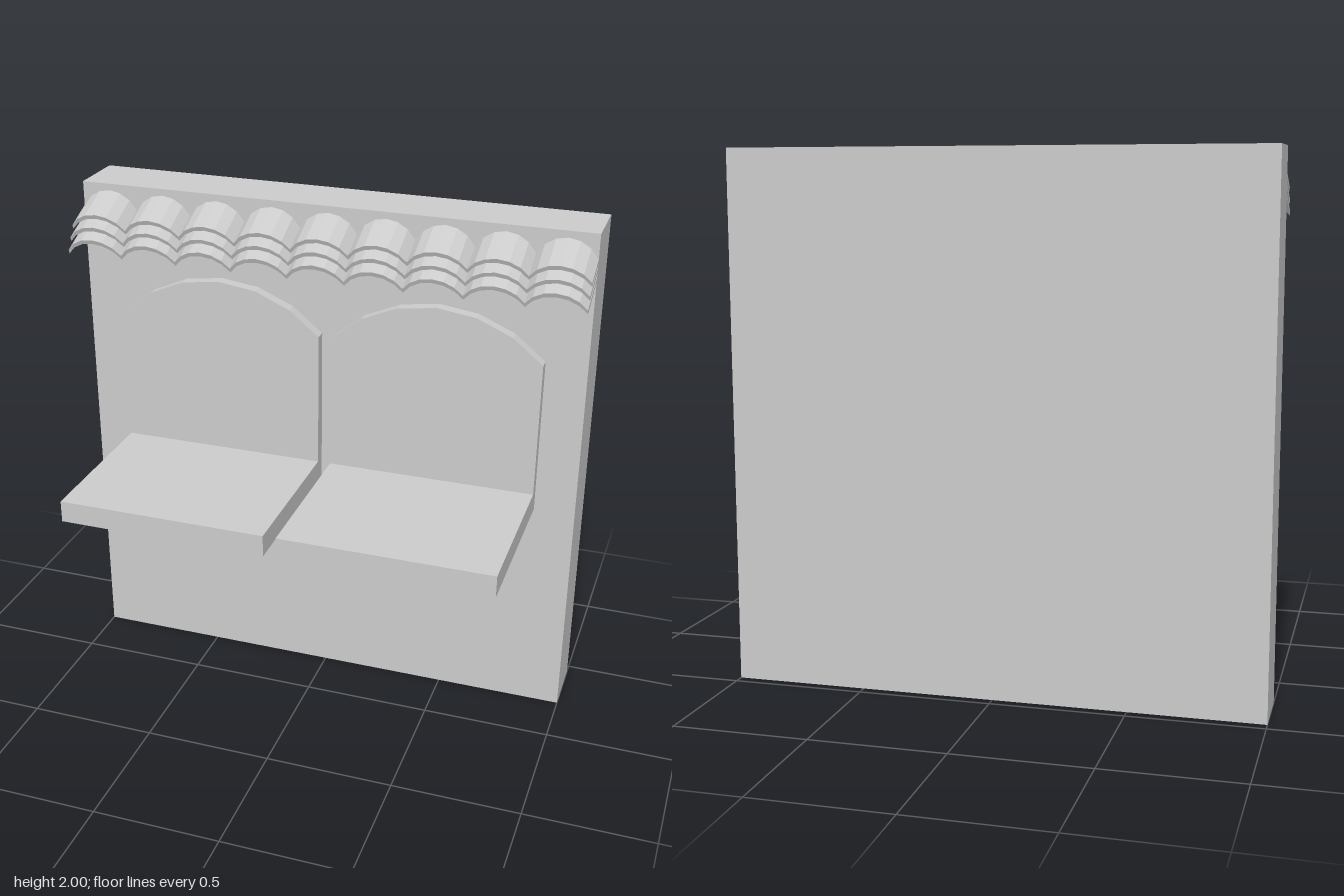
import * as THREE from 'three';

const material = new THREE.MeshStandardMaterial({ color: 0xcccccc, flatShading: true });

function addMesh(parent, name, geometry, x = 0, y = 0, z = 0) {
  const mesh = new THREE.Mesh(geometry, material);
  mesh.name = name;
  mesh.position.set(x, y, z);
  parent.add(mesh);
  return mesh;
}

// Slab whose top is a shallow faceted arch, base at y = 0
function archedPanel(width, sideHeight, rise, depth) {
  const half = width / 2;
  const radius = (half * half + rise * rise) / (2 * rise);
  const shape = new THREE.Shape();
  shape.moveTo(-half, 0);
  shape.lineTo(half, 0);
  const steps = 6;
  for (let i = 0; i <= steps; i++) {
    const a = Math.asin(half / radius) * (1 - (2 * i) / steps);
    shape.lineTo(radius * Math.sin(a), sideHeight + rise - radius * (1 - Math.cos(a)));
  }
  return new THREE.ExtrudeGeometry(shape, { depth, bevelEnabled: false });
}

// Curved roof tile: crest of its front end at the origin, running back along -z
function roofTile(width, rise, thickness, length) {
  const half = width / 2;
  const radius = (half * half + rise * rise) / (2 * rise);
  const steps = 6;
  const outer = [];
  for (let i = 0; i <= steps; i++) {
    const a = Math.asin(half / radius) * (1 - (2 * i) / steps);
    outer.push(new THREE.Vector2(radius * Math.sin(a), radius * (Math.cos(a) - 1)));
  }
  const inner = outer.map((p) => new THREE.Vector2(p.x, p.y - thickness)).reverse();
  const shape = new THREE.Shape([...outer, ...inner]);
  return new THREE.ExtrudeGeometry(shape, { depth: length, bevelEnabled: false }).translate(0, 0, -length);
}

export function createModel() {
  const model = new THREE.Group();
  model.name = 'wallBench';

  // Wall
  addMesh(model, 'wall', new THREE.BoxGeometry(2, 2, 0.235), 0, 1, -0.3425);

  // Two seats, each with an arched backrest
  for (const [name, x] of [['rightSeat', -0.425], ['leftSeat', 0.4375]]) {
    const seat = new THREE.Group();
    seat.name = name;
    seat.position.set(x, 0.885, 0);
    model.add(seat);
    addMesh(seat, 'backrest', archedPanel(0.813, 0.615, 0.175, 0.045), 0, 0, -0.215);
    addMesh(seat, 'seatBoard', new THREE.BoxGeometry(0.813, 0.085, 0.63), 0, 0.0425, 0.145);
  }

  // Three overlapping rows of sloping tiles
  const count = 9;
  const pitch = 2 / count;
  const rows = [
    { y: 1.916, z: -0.087, length: 0.16 },
    { y: 1.874, z: -0.063, length: 0.165 },
    { y: 1.831, z: -0.042, length: 0.18 },
  ];
  rows.forEach(({ y, z, length }, r) => {
    const row = new THREE.Group();
    row.name = `tileRow${r + 1}`;
    row.position.set(0, y, z);
    row.rotation.x = 0.4;
    model.add(row);
    const geometry = roofTile(pitch, 0.063, 0.018, length);
    for (let i = 0; i < count; i++) {
      addMesh(row, 'tile', geometry, (i - (count - 1) / 2) * pitch);
    }
  });

  return model;
}
